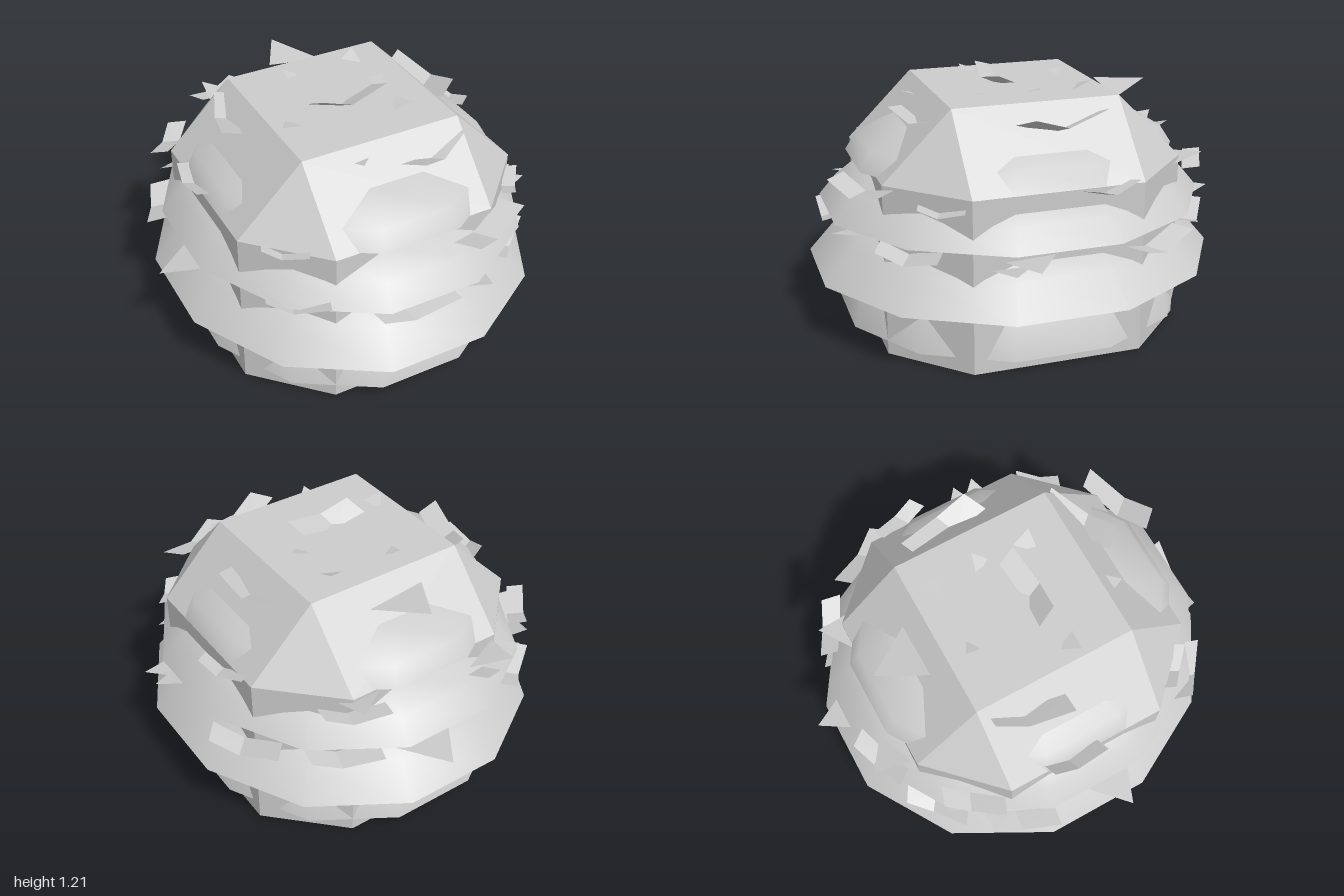
import * as THREE from 'three';
import { ConvexGeometry } from 'three/addons/geometries/ConvexGeometry.js';

const C = 0.04; // axis offset of the bush in x and z

// flat-shaded surface from a strip of points
function strip(points) {
  const pos = [];
  for (let i = 0; i + 2 < points.length; i++) {
    const tri = i % 2 ? [i, i + 2, i + 1] : [i, i + 1, i + 2];
    tri.forEach((k) => pos.push(...points[k]));
  }
  const g = new THREE.BufferGeometry();
  g.setAttribute('position', new THREE.Float32BufferAttribute(pos, 3));
  g.computeVertexNormals();
  return g;
}

export function createModel() {
  const group = new THREE.Group();
  const grey = new THREE.MeshStandardMaterial({ color: 0xcccccc });
  grey.name = 'paleGrey';
  grey.side = THREE.DoubleSide;

  const add = (name, geometry, parent = group) => {
    const mesh = new THREE.Mesh(geometry, grey);
    mesh.name = name;
    parent.add(mesh);
    return mesh;
  };

  // Chamfered core: octagonal wall with a sloped roof to a square top
  const a = 0.395, b = 0.713, corners = [];
  for (const sx of [-1, 1]) for (const sz of [-1, 1]) {
    for (const y of [0, 0.813]) {
      corners.push(new THREE.Vector3(sx * a, y, sz * b), new THREE.Vector3(sx * b, y, sz * a));
    }
    corners.push(new THREE.Vector3(sx * a, 1.13, sz * a));
  }
  add('core', new ConvexGeometry(corners)).position.set(C, 0, C);

  // Open twelve-sided domes stacked as foliage skirts
  const skirts = [
    ['baseDome', 0.065, 0.803, 0.859, [[1, 0], [0.95, 0.15], [0.88, 0.22], [0.6, 0.33], [0, 0.4]]],
    ['lowerSkirt', 0.3, 0.927, 0.994, [[1, 0], [0.87, 0.15], [0.74, 0.245], [0.45, 0.34], [0, 0.39]]],
    ['upperSkirt', 0.59, 0.867, 0.932, [[1, 0], [0.91, 0.1], [0.78, 0.195], [0.5, 0.28], [0, 0.33]]],
    ['topDome', 0.815, 0.738, 0.796, [[1, 0], [0.93, 0.085], [0.7, 0.175], [0.4, 0.23], [0, 0.255]]],
  ];
  for (const [name, y, rx, rz, profile] of skirts) {
    const g = new THREE.LatheGeometry(profile.map((p) => new THREE.Vector2(...p)), 12, Math.PI / 12);
    g.scale(rx, 1, rz);
    add(name, g).position.set(C, y, C);
  }

  // Leaf shapes, 1 long; local z points away from the bush
  const folded = strip([
    [-0.5, 0.06, -0.1], [-0.4, 0.05, 0.17], [-0.1, -0.06, -0.12],
    [-0.02, -0.07, 0.14], [0.42, 0.08, -0.12], [0.5, 0.07, 0.13],
  ]);
  const spike = strip([[-0.5, -0.08, -0.3], [0.1, 0, 0.5], [0.5, 0.05, -0.3]]);

  // Each leaf: x, y, z, length, outward tilt
  const leaves = new THREE.Group();
  leaves.name = 'leaves';
  group.add(leaves);
  const scatter = (name, shape, rows) => rows.forEach(([x, y, z, size, tilt]) => {
    const leaf = add(name, shape, leaves);
    leaf.position.set(x, y, z);
    leaf.rotation.set(-tilt, Math.atan2(x - C, z - C), 0, 'YXZ');
    leaf.scale.setScalar(size);
  });

  scatter('roofLeaf', folded, [
    [0.04, 1.16, 0.12, 0.38, 0.5],
    [-0.45, 1.06, -0.14, 0.4, 0.4],
    [0.54, 1.05, -0.05, 0.43, 0.4],
    [0.26, 1.05, 0.53, 0.4, 0.2],
  ]);
  scatter('middleLeaf', folded, [
    [-0.69, 0.84, -0.03, 0.3, 0.5],
    [0.79, 0.81, -0.18, 0.28, 0.2],
    [0.37, 0.78, 0.83, 0.42, 0],
    [-0.52, 0.81, 0.6, 0.24, 0.1],
    [0.68, 0.75, 0.55, 0.24, 0],
    [0.46, 0.78, -0.72, 0.32, 0.1],
    [-0.24, 0.79, -0.8, 0.32, 0.1],
    [-0.62, 0.76, -0.52, 0.32, 0],
  ]);
  scatter('lowerLeaf', folded, [
    [-0.05, 0.55, 0.9, 0.42, -0.1],
    [0.58, 0.53, 0.67, 0.36, -0.2],
    [-0.52, 0.6, 0.71, 0.32, 0.2],
    [0.82, 0.55, -0.4, 0.38, -0.1],
    [-0.76, 0.53, -0.34, 0.36, 0],
    [-0.5, 0.54, -0.66, 0.34, -0.2],
    [0.5, 0.54, -0.7, 0.36, -0.1],
  ]);
  scatter('pointedLeaf', spike, [
    [0.05, 1.08, -0.53, 0.28, 0.1],
    [-0.83, 0.53, 0.12, 0.25, 0],
    [0.85, 0.54, 0.2, 0.22, 0],
    [0.88, 0.53, 0.3, 0.17, 0.1],
    [0.14, 0.53, -0.86, 0.27, 0],
    [0.27, 0.55, 0.86, 0.24, 0.2],
    [-0.25, 0.81, -0.78, 0.2, 0.2],
    [0.42, 0.8, -0.67, 0.24, 0.2],
  ]);
  // Small tips poking through the roof
  scatter('leafTip', spike, [
    [0.25, 1.14, 0.24, 0.12, 0.2],
    [-0.28, 1.14, 0.16, 0.11, 0.2],
    [0.27, 1.14, 0, 0.1, 0.3],
    [-0.08, 1.14, -0.24, 0.08, 0.3],
    [-0.1, 1.08, 0.48, 0.12, 0.2],
    [0.26, 1.15, -0.24, 0.1, 0.4],
  ]);

  return group;
}
